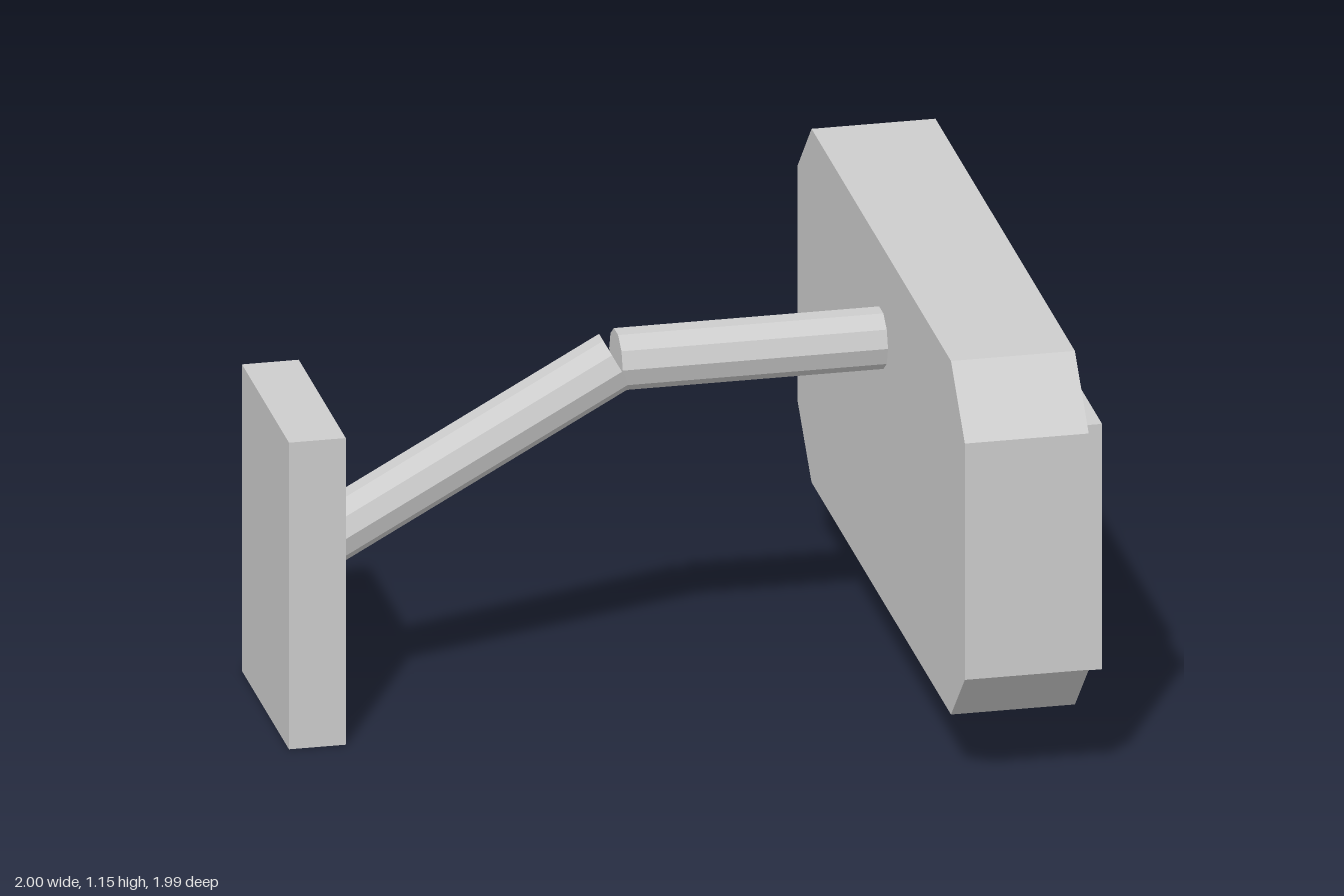
import * as THREE from 'three';

export function createModel() {
  const group = new THREE.Group();
  const grey = new THREE.MeshStandardMaterial({ color: 0xcccccc });
  grey.name = 'light grey';
  grey.flatShading = true;

  const add = (name, geometry, x = 0, y = 0, z = 0) => {
    const mesh = new THREE.Mesh(geometry, grey);
    mesh.name = name;
    mesh.position.set(x, y, z);
    group.add(mesh);
    return mesh;
  };

  // Wall plate
  add('wallPlate', new THREE.BoxGeometry(0.15, 0.85, 0.56), -0.925, 0.425, 0);

  // Ten-sided arm segments, meeting at the elbow
  const addArm = (name, x0, y0, x1, y1) => {
    const length = Math.hypot(x1 - x0, y1 - y0);
    const arm = add(name, new THREE.CylinderGeometry(0.081, 0.081, length, 10),
      (x0 + x1) / 2, (y0 + y1) / 2, 0);
    arm.rotation.z = Math.atan2(y1 - y0, x1 - x0) - Math.PI / 2;
  };
  addArm('slopedArm', -0.9, 0.437, -0.077, 0.89);
  addArm('levelArm', -0.075, 0.893, 0.66, 0.893);

  // Housing: rectangle with cut corners, extruded along x
  const outline = [
    [-0.83, 0.17], [0.83, 0.17], [0.995, 0.33], [0.995, 0.985],
    [0.83, 1.15], [-0.83, 1.15], [-0.995, 0.985], [-0.995, 0.33],
  ].map(([z, y]) => new THREE.Vector2(z, y));
  const housing = new THREE.ExtrudeGeometry(new THREE.Shape(outline), { depth: 0.327, bevelEnabled: false });
  housing.rotateY(Math.PI / 2);
  add('housing', housing, 0.625, 0, 0);

  // Two raised panels on the outer face
  for (const side of [1, -1]) {
    add(side > 0 ? 'frontPanel' : 'rearPanel',
      new THREE.BoxGeometry(0.06, 0.68, 0.844), 0.97, 0.645, side * 0.515);
  }

  return group;
}
